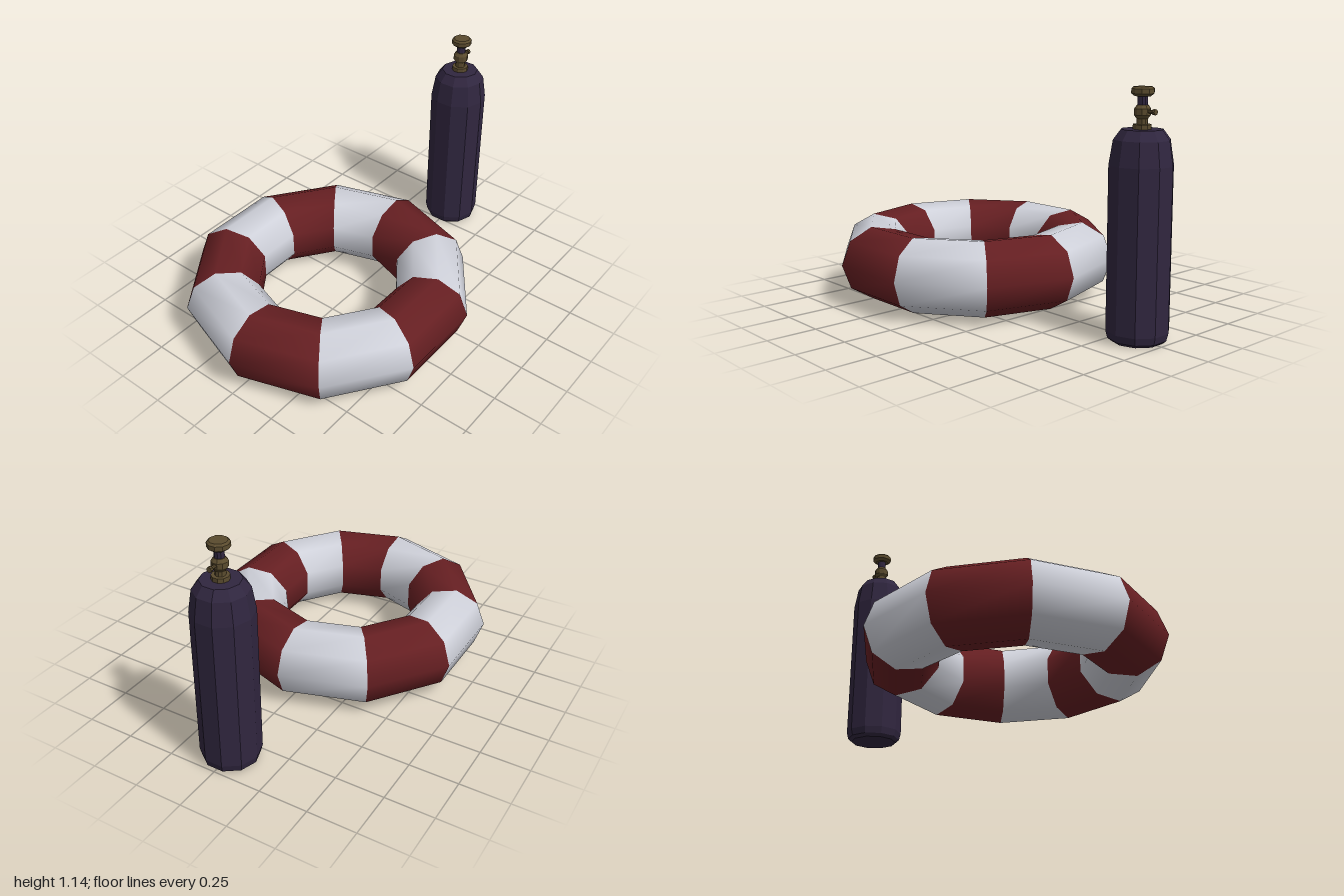
import * as THREE from 'three';

const paint = (color, flatShading = true) => new THREE.MeshStandardMaterial({ color, flatShading });
const white = paint(0xcfd1da, false);
const red = paint(0x661f22, false);
const purple = paint(0x30263f);
const brass = paint(0x5a4b2e);

function add(parent, name, geometry, material, x = 0, y = 0, z = 0) {
  const mesh = new THREE.Mesh(geometry, material);
  mesh.name = name;
  mesh.position.set(x, y, z);
  parent.add(mesh);
  return mesh;
}

// Turned solid from [radius, height] pairs, bottom to top
const turned = (profile, sides = 10) =>
  new THREE.LatheGeometry(profile.map(([r, y]) => new THREE.Vector2(r, y)), sides);

export function createModel() {
  const model = new THREE.Group();
  model.name = 'lifeRingAndGasTank';

  // Life ring: ten straight segments in alternating colours
  const ring = new THREE.Group();
  ring.name = 'lifeRing';
  ring.position.set(-0.27, 0.207, 0);
  model.add(ring);
  const count = 10;
  const step = (Math.PI * 2) / count;
  for (let i = 0; i < count; i++) {
    const segment = new THREE.TorusGeometry(0.54, 0.19, 9, 1, step);
    segment.rotateX(-Math.PI / 2).rotateY(i * step);
    add(ring, i % 2 ? 'redSegment' : 'whiteSegment', segment, i % 2 ? red : white);
  }

  // Gas tank with bevelled foot and shoulder
  const tank = new THREE.Group();
  tank.name = 'gasTank';
  tank.position.set(0.86, 0, 0);
  model.add(tank);
  add(tank, 'tankBody', turned([
    [0, 0], [0.12, 0], [0.138, 0.015], [0.147, 0.05], [0.147, 0.8],
    [0.129, 0.912], [0.095, 0.957], [0, 0.957],
  ]), purple);

  // Valve: collar, stem, body and hand knob
  add(tank, 'valveCollar', turned([[0, 0.95], [0.042, 0.95], [0.042, 0.978], [0, 0.978]]), brass);
  add(tank, 'valveNeck', turned([[0.025, 0.97], [0.025, 1.015]]), brass);
  add(tank, 'valveBody', turned([
    [0, 1.003], [0.026, 1.003], [0.038, 1.018], [0.038, 1.046], [0.026, 1.062], [0, 1.062],
  ]), brass);
  add(tank, 'valveStem', turned([[0.023, 1.05], [0.023, 1.108]]), purple);
  add(tank, 'valveKnob', turned([
    [0, 1.1], [0.036, 1.1], [0.052, 1.112], [0.052, 1.133], [0.042, 1.142], [0, 1.142],
  ]), brass);

  // Side outlet with a wider nozzle
  const outlet = new THREE.CylinderGeometry(0.008, 0.008, 0.04, 8).rotateZ(-Math.PI / 2);
  add(tank, 'outletPipe', outlet, brass, 0.048, 1.034);
  const nozzle = new THREE.CylinderGeometry(0.013, 0.013, 0.014, 8).rotateZ(-Math.PI / 2);
  add(tank, 'outletNozzle', nozzle, brass, 0.068, 1.034);

  return model;
}
